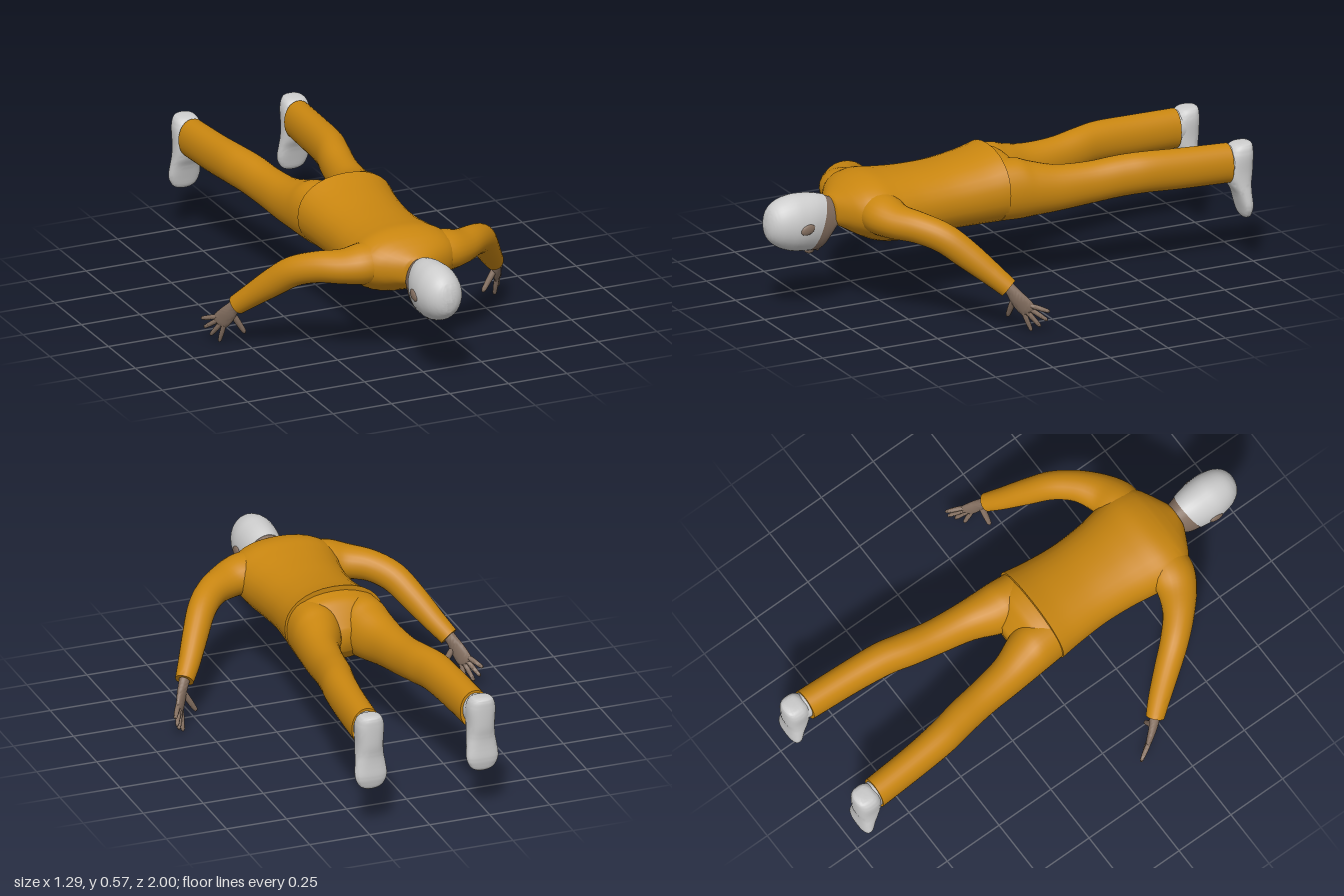
import * as THREE from 'three';
import { toCreasedNormals } from 'three/addons/utils/BufferGeometryUtils.js';

const cloth = new THREE.MeshStandardMaterial({ color: 0xc98610 });
cloth.name = 'orange cloth';
const white = new THREE.MeshStandardMaterial({ color: 0xcdcdcd });
white.name = 'light grey';
const skin = new THREE.MeshStandardMaterial({ color: 0x846f60 });
skin.name = 'skin';

// Smooth resampling of a list of number rows (Catmull-Rom)
function resample(rows, steps = 5) {
  const out = [];
  const last = rows.length - 1;
  for (let i = 0; i < last; i++) {
    const [a, b, c, d] = [rows[Math.max(i - 1, 0)], rows[i], rows[i + 1], rows[Math.min(i + 2, last)]];
    for (let s = 0; s < steps; s++) {
      const t = s / steps;
      out.push(b.map((v, k) => v + 0.5 * t * (c[k] - a[k] + t * (2 * a[k] - 5 * v + 4 * c[k] - d[k]
        + t * (3 * (v - c[k]) + d[k] - a[k])))));
    }
  }
  out.push(rows[last]);
  return out;
}

// Unit superellipse points, counter-clockwise
function outline(n, power) {
  const f = (v) => Math.sign(v) * Math.abs(v) ** (2 / power);
  return Array.from({ length: n }, (_, i) => {
    const a = (i / n) * Math.PI * 2;
    return [f(Math.cos(a)), f(Math.sin(a))];
  });
}

// Skin a closed, capped surface over rings; side -1 mirrors it in x
function loft(rings, side = 1) {
  if (side < 0) {
    rings = rings.map((r) => r.map((p) => new THREE.Vector3(-p.x, p.y, p.z)).reverse());
  }
  const n = rings[0].length;
  const pos = [];
  const index = [];
  rings.forEach((r) => r.forEach((p) => pos.push(p.x, p.y, p.z)));
  for (let j = 0; j < rings.length - 1; j++) {
    for (let i = 0; i < n; i++) {
      const a = j * n + i;
      const b = j * n + (i + 1) % n;
      index.push(a, b, b + n, a, b + n, a + n);
    }
  }
  for (const j of [0, rings.length - 1]) {
    const c = rings[j].reduce((s, p) => s.add(p), new THREE.Vector3()).divideScalar(n);
    const ci = pos.length / 3;
    pos.push(c.x, c.y, c.z);
    for (let i = 0; i < n; i++) {
      const a = j * n + i;
      const b = j * n + (i + 1) % n;
      if (j === 0) index.push(ci, b, a);
      else index.push(ci, a, b);
    }
  }
  const g = new THREE.BufferGeometry();
  g.setAttribute('position', new THREE.Float32BufferAttribute(pos, 3));
  g.setIndex(index);
  return toCreasedNormals(g, 1.0);
}

// Sections along z: [z, centre x, half width, bottom y, top y, shear of z by y]
function body(rows, power = 2.2, side = 1) {
  return loft(resample(rows).map(([z, cx, hx, yb, yt, shear]) => outline(32, power).map(([u, v]) => {
    const y = (yb + yt) / 2 + v * (yt - yb) / 2;
    return new THREE.Vector3(cx + u * hx, y, z + shear * (0.37 - y));
  })), side);
}

// Sections along a path: [x, y, z, radius across, radius through]
function limb(rows, ref, side, n = 20) {
  const r = resample(rows);
  const at = (i) => new THREE.Vector3(...r[Math.min(Math.max(i, 0), r.length - 1)].slice(0, 3));
  return loft(r.map((row, i) => {
    const t = at(i + 1).sub(at(i - 1)).normalize();
    const u = t.clone().cross(ref).normalize();
    const v = t.clone().cross(u);
    return outline(n, 2).map(([a, b]) => at(i).addScaledVector(u, a * row[3]).addScaledVector(v, b * row[4]));
  }), side);
}

export function createModel() {
  const model = new THREE.Group();
  const add = (name, geometry, material) => {
    const m = new THREE.Mesh(geometry, material);
    m.name = name;
    model.add(m);
    return m;
  };
  const ball = (name, material, p, s) => {
    const m = add(name, new THREE.SphereGeometry(1, 20, 14), material);
    m.position.set(...p);
    m.scale.set(...s);
    return m;
  };

  // Shirt from hem to collar
  add('shirt', body([
    [0.03, 0, 0.205, 0.267, 0.572, 0], [0.12, 0, 0.193, 0.268, 0.55, 0],
    [0.25, 0, 0.184, 0.268, 0.533, 0], [0.38, 0, 0.19, 0.262, 0.53, 0],
    [0.48, 0, 0.205, 0.262, 0.535, 0], [0.56, 0, 0.218, 0.278, 0.541, 0],
    [0.62, 0, 0.205, 0.305, 0.528, 0], [0.66, 0, 0.17, 0.328, 0.508, 0],
    [0.69, 0, 0.12, 0.345, 0.488, 0], [0.718, 0, 0.064, 0.355, 0.468, 0],
  ]), cloth);

  // Trouser seat
  add('trouserSeat', body([
    [-0.1, 0, 0.06, 0.35, 0.44, 0], [-0.06, 0, 0.14, 0.305, 0.5, 0],
    [-0.02, 0, 0.188, 0.285, 0.54, 0], [0.05, 0, 0.196, 0.28, 0.555, 0],
  ]), cloth);

  // Neck and jaw, then the cap over the skull
  add('neckAndFace', body([
    [0.62, 0, 0.062, 0.36, 0.47, 0.1], [0.69, 0, 0.058, 0.345, 0.458, 0.33],
    [0.712, 0, 0.058, 0.305, 0.455, 0.33], [0.728, 0, 0.062, 0.267, 0.457, 0.33],
    [0.752, 0, 0.069, 0.258, 0.465, 0.33], [0.785, 0, 0.076, 0.262, 0.478, 0.33],
  ], 2), skin);
  add('cap', body([
    [0.78, 0, 0.077, 0.26, 0.478, 0.33], [0.82, 0, 0.085, 0.264, 0.49, 0.28],
    [0.86, 0, 0.089, 0.268, 0.496, 0.2], [0.9, 0, 0.088, 0.276, 0.497, 0.1],
    [0.945, 0, 0.077, 0.293, 0.483, 0.03], [0.975, 0, 0.058, 0.315, 0.46, 0],
    [0.992, 0, 0.034, 0.34, 0.43, 0], [1.0, 0, 0.005, 0.378, 0.39, 0],
  ], 2), white);
  ball('nose', skin, [0, 0.262, 0.805], [0.014, 0.018, 0.022]);
  ball('lips', skin, [0, 0.262, 0.777], [0.024, 0.008, 0.009]);

  const up = new THREE.Vector3(0, 1, 0);
  const palmNormal = new THREE.Vector3(0.8, -0.14, 0.58);
  // Knuckle, fingertip and thickness
  const fingers = {
    indexFinger: [0.584, 0.07, 0.163, 0.588, 0.002, 0.135],
    middleFinger: [0.593, 0.083, 0.154, 0.615, 0.025, 0.11],
    ringFinger: [0.601, 0.097, 0.146, 0.632, 0.052, 0.087],
    littleFinger: [0.61, 0.11, 0.137, 0.641, 0.09, 0.082],
    thumb: [0.56, 0.135, 0.198, 0.507, 0.048, 0.2],
  };

  for (const [label, s] of [['left', 1], ['right', -1]]) {
    // Sleeve
    add(label + 'Sleeve', limb([
      [0.1, 0.425, 0.575, 0.085, 0.08], [0.18, 0.418, 0.568, 0.092, 0.08],
      [0.25, 0.41, 0.545, 0.078, 0.068], [0.33, 0.402, 0.492, 0.062, 0.062],
      [0.4, 0.37, 0.42, 0.056, 0.06], [0.455, 0.305, 0.345, 0.051, 0.056],
      [0.51, 0.232, 0.268, 0.044, 0.046], [0.551, 0.18, 0.216, 0.037, 0.04],
    ], up, s, 24), cloth);

    // Hand
    add(label + 'Palm', limb([
      [0.54, 0.2, 0.23, 0.024, 0.021], [0.557, 0.172, 0.208, 0.025, 0.02],
      [0.572, 0.142, 0.19, 0.032, 0.017], [0.586, 0.112, 0.168, 0.036, 0.014],
      [0.596, 0.092, 0.152, 0.033, 0.011], [0.599, 0.085, 0.147, 0.02, 0.006],
    ], palmNormal, s), skin);
    for (const [name, f] of Object.entries(fingers)) {
      const w = name === 'thumb' ? 0.012 : 0.0095;
      const a = f.slice(0, 3);
      const row = (t, r) => [...a.map((v, k) => v + (f[k + 3] - v) * t), r * w, r * w];
      const g = limb([row(-0.2, 1), row(0.3, 1.05), row(0.7, 0.9), row(0.92, 0.7), row(1, 0.15)], palmNormal, s, 10);
      add(label + name[0].toUpperCase() + name.slice(1), g, skin);
    }

    // Trouser leg
    add(label + 'TrouserLeg', body([
      [-0.9, 0.226, 0.06, 0.335, 0.495, 0], [-0.7, 0.214, 0.062, 0.338, 0.501, 0],
      [-0.55, 0.199, 0.066, 0.342, 0.506, 0], [-0.45, 0.178, 0.068, 0.335, 0.5, 0],
      [-0.33, 0.157, 0.068, 0.32, 0.487, 0], [-0.2, 0.138, 0.076, 0.305, 0.49, 0],
      [-0.1, 0.113, 0.094, 0.294, 0.513, 0], [-0.04, 0.103, 0.1, 0.288, 0.532, 0],
      [0.04, 0.1, 0.096, 0.29, 0.53, 0],
    ], 2.1, s), cloth);

    // Ankle and shoe, toes pointing down
    add(label + 'Ankle', body([
      [-0.95, 0.228, 0.05, 0.36, 0.485, 0], [-0.88, 0.228, 0.052, 0.35, 0.485, 0],
    ], 2, s), white);
    const shoe = resample([
      [0.497, 0.018, -0.955, -0.985], [0.488, 0.043, -0.915, -0.997],
      [0.45, 0.056, -0.893, -1], [0.38, 0.054, -0.888, -0.998],
      [0.33, 0.056, -0.903, -0.991], [0.29, 0.061, -0.924, -0.99],
      [0.24, 0.065, -0.94, -0.992], [0.205, 0.051, -0.95, -0.986],
      [0.19, 0.03, -0.958, -0.98], [0.185, 0.008, -0.966, -0.973],
    ]).map(([y, hx, z0, z1]) => outline(28, 2.5).map(([u, v]) =>
      new THREE.Vector3(0.232 + u * hx, y, (z0 + z1) / 2 + v * (z0 - z1) / 2)));
    add(label + 'Shoe', loft(shoe, s), white);

    // Ear
    const ear = ball(label + 'Ear', skin, [s * 0.088, 0.375, 0.855], [0.009, 0.02, 0.031]);
    ear.rotation.x = 0.3;
  }
  return model;
}
